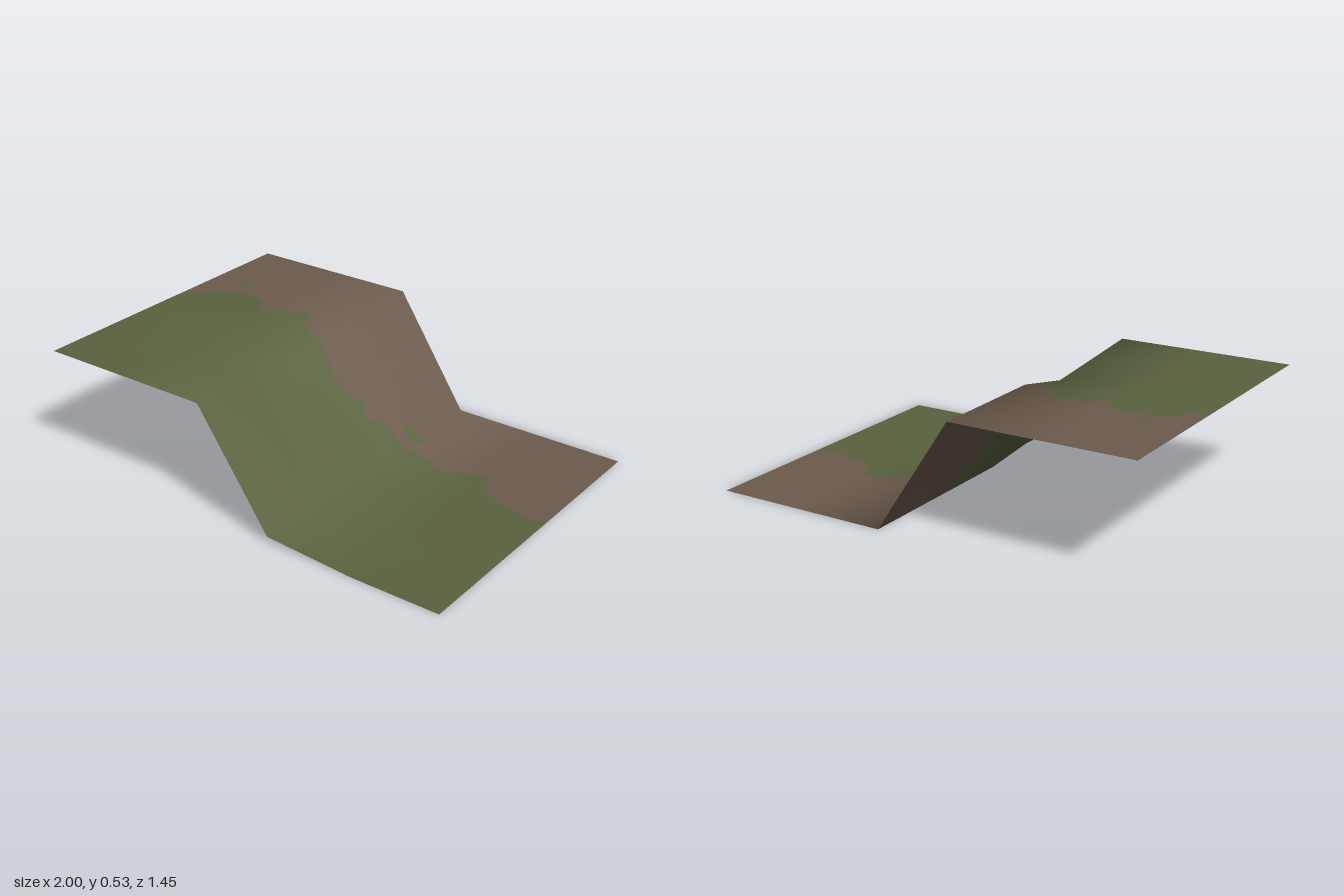
import * as THREE from 'three';

const grass = new THREE.MeshStandardMaterial({ color: 0x58613e, side: THREE.DoubleSide });
grass.name = 'grassGreen';
const earth = new THREE.MeshStandardMaterial({ color: 0x6b5a4c, side: THREE.DoubleSide });
earth.name = 'earthBrown';

// Coarse height grid: a high shelf, a slope and a low shelf
const COLS = [-1, -0.59, -0.176, 0.172, 0.59, 1];
const ROWS = [-0.725, -0.435, -0.145, 0.145, 0.435, 0.725];
const HIGH = 0.525;
const brow = [HIGH, HIGH, HIGH, 0.47, 0.4975, HIGH]; // sagging upper crease
const foot = [0, 0, 0, 0, 0.027, 0.027]; // raised lower crease
const heightAt = (i, j) => [HIGH, HIGH, brow[j], foot[j], 0, 0][i];

// Builds an upward facing grid from a point function, with m columns and n rows
function gridGeometry(m, n, point) {
  const pos = [], index = [];
  for (let i = 0; i < m; i++) for (let j = 0; j < n; j++) pos.push(...point(i, j));
  for (let i = 0; i < m - 1; i++) for (let j = 0; j < n - 1; j++) {
    const a = i * n + j, b = a + 1, c = a + n, d = c + 1;
    index.push(a, b, c, b, d, c);
  }
  const g = new THREE.BufferGeometry();
  g.setAttribute('position', new THREE.Float32BufferAttribute(pos, 3));
  g.setIndex(index);
  g.computeVertexNormals();
  return g;
}

const coarse = gridGeometry(6, 6, (i, j) => [COLS[i], heightAt(i, j), ROWS[j]]);

// Height and smooth normal anywhere on the land
function sample(x, z) {
  const find = (list, v) => {
    let k = 0;
    while (k < list.length - 2 && v > list[k + 1]) k++;
    return [k, (v - list[k]) / (list[k + 1] - list[k])];
  };
  const [i, u] = find(COLS, x), [j, v] = find(ROWS, z);
  const normal = new THREE.Vector3(), n = new THREE.Vector3();
  let y = 0;
  for (const [di, dj, w] of [[0, 0, (1 - u) * (1 - v)], [1, 0, u * (1 - v)], [0, 1, (1 - u) * v], [1, 1, u * v]]) {
    y += w * heightAt(i + di, j + dj);
    n.fromBufferAttribute(coarse.attributes.normal, (i + di) * 6 + j + dj);
    normal.addScaledVector(n, w);
  }
  return { y, normal: normal.normalize() };
}

// Copies the land's smooth normals onto a piece
function smooth(g) {
  const p = g.attributes.position, n = g.attributes.normal;
  for (let k = 0; k < p.count; k++) {
    const s = sample(p.getX(k), p.getZ(k)).normal;
    n.setXYZ(k, s.x, s.y, s.z);
  }
  return g;
}

// Ragged border between earth and grass, as x, z
const border = [
  [-1, -0.115], [-0.94, -0.115], [-0.9, -0.185], [-0.865, -0.215], [-0.8, -0.235], [-0.73, -0.26],
  [-0.66, -0.245], [-0.62, -0.225], [-0.6, -0.165], [-0.565, -0.16], [-0.5, -0.215], [-0.45, -0.215],
  [-0.405, -0.25], [-0.345, -0.255], [-0.335, -0.155], [-0.27, -0.13], [-0.255, -0.1], [-0.18, -0.085],
  [-0.075, -0.06], [-0.01, -0.095], [0.01, -0.145], [0.06, -0.115], [0.085, -0.2], [0.14, -0.245],
  [0.2, -0.26], [0.27, -0.235], [0.325, -0.23], [0.36, -0.18], [0.43, -0.18], [0.5, -0.22],
  [0.57, -0.245], [0.63, -0.255], [0.635, -0.18], [0.73, -0.105], [0.82, -0.095], [0.91, -0.06], [1, -0.085],
];
function borderAt(x) {
  let k = 0;
  while (k < border.length - 2 && x > border[k + 1][0]) k++;
  const [a, b] = [border[k], border[k + 1]];
  return a[1] + (b[1] - a[1]) * (x - a[0]) / (b[0] - a[0]);
}
const xs = [...new Set([...border.map((p) => p[0]), ...COLS])].sort((a, b) => a - b);

function land(name, material, rowsAt) {
  const rows = xs.map((x) => rowsAt(borderAt(x)));
  const g = gridGeometry(xs.length, rows[0].length, (i, j) => [xs[i], sample(xs[i], rows[i][j]).y, rows[i][j]]);
  const mesh = new THREE.Mesh(smooth(g), material);
  mesh.name = name;
  return mesh;
}

// Small grass patch laid just above the earth
function patch(points) {
  const g = new THREE.ShapeGeometry(new THREE.Shape(points.map(([x, z]) => new THREE.Vector2(x, -z))));
  const p = g.attributes.position;
  for (let k = 0; k < p.count; k++) {
    const x = p.getX(k), z = -p.getY(k);
    p.setXYZ(k, x, sample(x, z).y + 0.003, z);
  }
  const mesh = new THREE.Mesh(smooth(g), grass);
  mesh.name = 'grassPatch';
  return mesh;
}

export function createModel() {
  const model = new THREE.Group();
  model.name = 'hillside';
  model.add(
    land('earthGround', earth, (b) => [ROWS[0], Math.min(b - 0.001, ROWS[2]), b]),
    land('grassGround', grass, (b) => [b, Math.max(b + 0.001, ROWS[2]), ROWS[3], ROWS[4], ROWS[5]]),
    patch([[-0.86, -0.29], [-0.84, -0.325], [-0.8, -0.345], [-0.765, -0.345], [-0.77, -0.325], [-0.82, -0.305]]),
    patch([[0.11, -0.305], [0.13, -0.34], [0.172, -0.36], [0.205, -0.36], [0.2, -0.325], [0.172, -0.315], [0.15, -0.3]]),
    patch([[-0.6, -0.41], [-0.58, -0.425], [-0.565, -0.415], [-0.58, -0.4]]),
  );
  return model;
}
